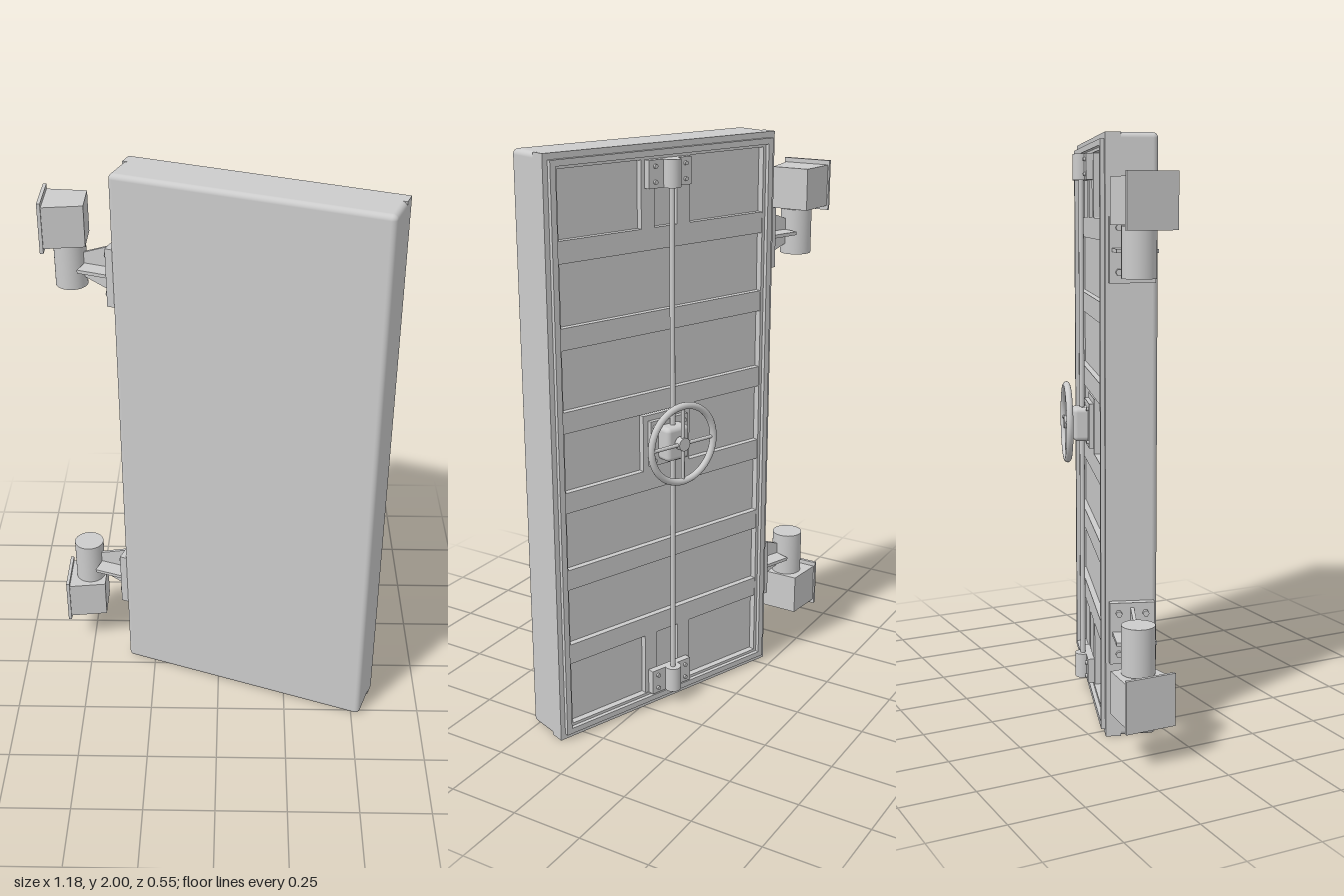
import * as THREE from 'three';
import { RoundedBoxGeometry } from 'three/addons/geometries/RoundedBoxGeometry.js';

const mat = new THREE.MeshStandardMaterial({ color: 0xcccccc });

function add(parent, name, geo, x = 0, y = 0, z = 0) {
  const m = new THREE.Mesh(geo, mat);
  m.name = name;
  m.position.set(x, y, z);
  parent.add(m);
  return m;
}

// box given by its limits on each axis
function block(parent, name, x0, x1, y0, y1, z0, z1) {
  return add(parent, name, new THREE.BoxGeometry(x1 - x0, y1 - y0, z1 - z0),
    (x0 + x1) / 2, (y0 + y1) / 2, (z0 + z1) / 2);
}

// rectangular ring from z0 to z1, centred on y = 1
function ring(parent, name, w, h, iw, ih, z0, z1) {
  const s = new THREE.Shape([[-w, -h], [w, -h], [w, h], [-w, h]].map(p => new THREE.Vector2(...p)));
  s.holes.push(new THREE.Path([[-iw, -ih], [-iw, ih], [iw, ih], [iw, -ih]].map(p => new THREE.Vector2(...p))));
  add(parent, name, new THREE.ExtrudeGeometry(s, { depth: z1 - z0, bevelEnabled: false }), 0, 1, z0);
}

function prism(points, depth) {
  const s = new THREE.Shape(points.map(p => new THREE.Vector2(...p)));
  return new THREE.ExtrudeGeometry(s, { depth, bevelEnabled: false });
}

const cyl = (r, h, n = 32) => new THREE.CylinderGeometry(r, r, h, n);

function doorLeaf(door) {
  add(door, 'doorSlab', new RoundedBoxGeometry(0.94, 2, 0.149, 4, 0.018), 0, 1, 0.0115);
  ring(door, 'backFrame', 0.47, 1, 0.42, 0.95, -0.086, -0.035);
  ring(door, 'sealRim', 0.452, 0.98, 0.432, 0.96, -0.1, -0.086);

  // horizontal ribs and the stiles between them
  for (let i = 0; i < 6; i++) {
    const y = 0.315 + i * 0.276;
    block(door, 'rib', -0.42, 0.42, y - 0.036, y + 0.036, -0.084, -0.06);
  }
  for (const s of [-1, 1]) {
    for (const y of [0.165, 1.835]) {
      block(door, 'stile', s * 0.0735 - 0.0265, s * 0.0735 + 0.0265, y - 0.115, y + 0.115, -0.084, -0.06);
    }
  }
  block(door, 'gearMount', -0.1, 0.1, 0.9, 1.1, -0.084, -0.06);
}

function lockGear(door) {
  add(door, 'lockRod', cyl(0.009, 1.88, 20), 0, 1, -0.117);

  // rod bearings with screwed flanges
  for (const y of [0.095, 1.905]) {
    block(door, 'bearingFlange', -0.086, 0.086, y - 0.045, y + 0.045, -0.108, -0.084);
    add(door, 'bearingSleeve', cyl(0.029, 0.09), 0, y, -0.117);
    for (const sx of [-1, 1]) for (const sy of [-1, 1]) {
      add(door, 'screw', cyl(0.007, 0.012, 12), sx * 0.062, y + sy * 0.025, -0.11).rotation.x = Math.PI / 2;
    }
  }

  // gearbox
  block(door, 'gearPlate', -0.08, 0.08, 0.92, 1.08, -0.1, -0.084);
  add(door, 'gearBox', new RoundedBoxGeometry(0.096, 0.12, 0.066, 3, 0.016), 0, 1, -0.119);
  for (const sx of [-1, 1]) for (const sy of [-1, 1]) {
    add(door, 'screw', cyl(0.007, 0.012, 12), sx * 0.064, 1 + sy * 0.06, -0.102).rotation.x = Math.PI / 2;
  }

  // handwheel
  const wheel = new THREE.Group();
  wheel.name = 'handwheel';
  wheel.position.set(0, 1.005, -0.172);
  add(wheel, 'wheelRim', new THREE.TorusGeometry(0.134, 0.012, 14, 56));
  add(wheel, 'wheelHub', cyl(0.023, 0.026), 0, 0, 0.002).rotation.x = Math.PI / 2;
  add(wheel, 'wheelShaft', cyl(0.012, 0.04, 20), 0, 0, 0.014).rotation.x = Math.PI / 2;
  for (let i = 0; i < 2; i++) {
    add(wheel, 'spokePair', cyl(0.0065, 0.268, 14)).rotation.z = i * Math.PI / 2;
  }
  door.add(wheel);
}

// hinge arm fixed to the door edge, centred on height y
function hingeArm(door, y) {
  block(door, 'hingePlate', -0.495, -0.468, y - 0.105, y + 0.105, -0.075, 0.075);
  block(door, 'hingeShelf', -0.606, -0.49, y - 0.006, y + 0.006, -0.066, 0.066);
  add(door, 'hingeWeb', prism([[-0.49, -0.09], [-0.49, 0.09], [-0.62, 0.04], [-0.62, -0.04]], 0.012), 0, y, -0.006);
  for (const sz of [-1, 1]) for (const sy of [-1, 1]) {
    add(door, 'hingeBolt', cyl(0.011, 0.016, 6), -0.5, y + sy * 0.07, sz * 0.045).rotation.z = Math.PI / 2;
  }
}

// barrel and tapered wall block; dir is +1 for the upper hinge, -1 for the lower
function hingeMount(root, y, dir) {
  add(root, 'hingeBarrel', cyl(0.055, 0.16, 36), -0.505, y, -0.193);
  const by = y + dir * 0.155;
  const g = prism([[-0.585, 0.11], [-0.445, 0.128], [-0.445, 0.262], [-0.585, 0.276]], 0.145);
  g.rotateX(-Math.PI / 2);
  add(root, 'wallBlock', g, 0, by - 0.0725, 0);
  block(root, 'wallPlate', -0.594, -0.582, by - 0.088, by + 0.088, -0.281, -0.105);
}

export function createModel() {
  const root = new THREE.Group();
  root.name = 'blastDoor';

  // the leaf stands ajar
  const door = new THREE.Group();
  door.name = 'doorLeaf';
  door.position.set(0.116, 0, 0.036);
  door.rotation.y = -THREE.MathUtils.degToRad(20);
  root.add(door);

  doorLeaf(door);
  lockGear(door);
  for (const dir of [-1, 1]) {
    hingeArm(door, 1 + dir * 0.632);
    hingeMount(root, 1 + dir * 0.63, dir);
  }
  return root;
}
